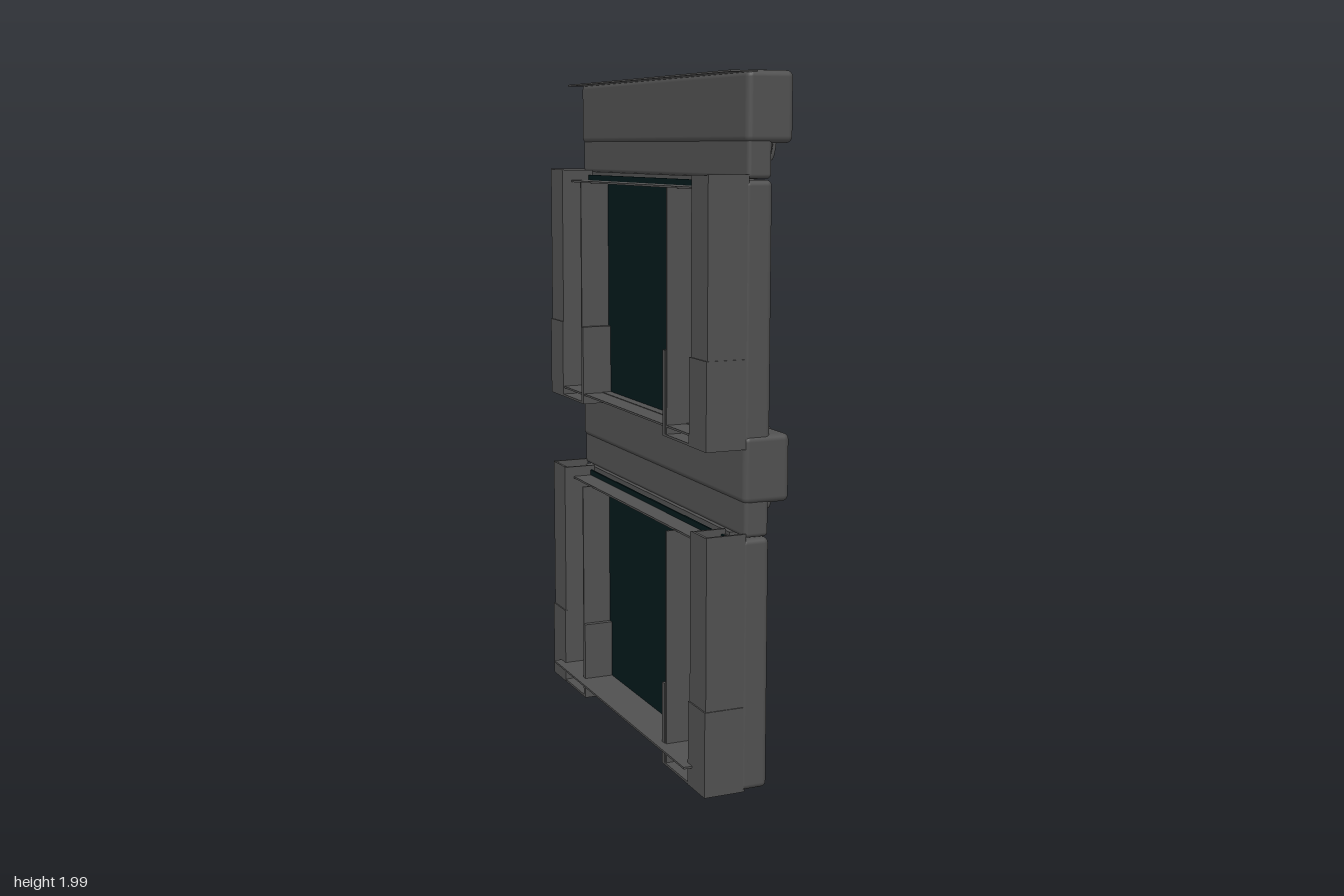
import * as THREE from 'three';
import { RoundedBoxGeometry } from 'three/addons/geometries/RoundedBoxGeometry.js';

export function createModel() {
  const root = new THREE.Group();
  const metal = new THREE.MeshStandardMaterial({ color: 0x505050, side: THREE.DoubleSide });
  metal.name = 'grey metal';
  const glass = new THREE.MeshStandardMaterial({ color: 0x03181a, side: THREE.DoubleSide });
  glass.name = 'dark teal glass';

  // Box given by its minimum and maximum on each axis; r rounds the edges
  function block(parent, name, x0, x1, y0, y1, z0, z1, r = 0, mat = metal) {
    const s = [x1 - x0, y1 - y0, z1 - z0];
    const geo = r ? new RoundedBoxGeometry(...s, 3, r) : new THREE.BoxGeometry(...s);
    const mesh = new THREE.Mesh(geo, mat);
    mesh.position.set((x0 + x1) / 2, (y0 + y1) / 2, (z0 + z1) / 2);
    mesh.name = name;
    parent.add(mesh);
  }

  // The same box on both sides of z = 0
  function pair(parent, name, x0, x1, y0, y1, z0, z1, r = 0) {
    block(parent, name, x0, x1, y0, y1, z0, z1, r);
    block(parent, name, x0, x1, y0, y1, -z1, -z0, r);
  }

  // Cable bundle: over the header, down its face, and across underneath
  function cables(parent) {
    for (let i = 0; i < 3; i++) {
      const o = (i - 1) * 0.011;
      const z = 0.484 + o, low = 0.774 + o * 0.7, x = 0.105 + o * 2.2;
      const half = [[0, 1.016, z], [0.125, 1.016, z], [0.137, 1.0, z],
        [0.137, 0.82, z], [0.132, 0.795, z], [x, low, z - 0.005]];
      const pts = half.concat(half.slice().reverse().map(([a, b, c]) => [a, b, -c]));
      const path = new THREE.CurvePath();
      const v = pts.map(p => new THREE.Vector3(...p));
      for (let k = 1; k < v.length; k++) path.add(new THREE.LineCurve3(v[k - 1], v[k]));
      const mesh = new THREE.Mesh(new THREE.TubeGeometry(path, 160, 0.005, 6), metal);
      mesh.name = 'hangingCable';
      mesh.position.z = -0.008;
      parent.add(mesh);
    }
  }

  function windowUnit(name, y, sillBack, sillTop) {
    const g = new THREE.Group();
    g.name = name;
    g.position.y = y;

    // Front frame
    pair(g, 'pillar', -0.012, 0.072, 0.005, 0.729, 0.53, 0.612, 0.016);
    pair(g, 'pillarInnerStrip', -0.02, 0.05, 0.01, 0.725, 0.505, 0.54);
    block(g, 'topRail', -0.015, 0.052, 0.705, 0.735, -0.535, 0.535);

    // Recessed side jambs with a thicker foot
    pair(g, 'jambFace', -0.021, -0.015, 0.005, 0.706, 0.333, 0.51);
    pair(g, 'jambReturn', -0.12, -0.015, 0.005, 0.706, 0.333, 0.34);
    pair(g, 'jambFootFace', -0.016, -0.004, 0.005, 0.25, 0.316, 0.507);
    pair(g, 'jambFootReturn', -0.123, -0.004, 0.005, 0.25, 0.316, 0.333);

    // Rear columns, hollow and open at the top
    pair(g, 'columnOuterWall', -0.12, 0, 0.005, 0.744, 0.602, 0.61);
    pair(g, 'columnBackWall', -0.12, -0.112, 0.005, 0.742, 0.507, 0.608);
    pair(g, 'columnInnerWall', -0.12, -0.015, 0.005, 0.74, 0.503, 0.511);
    pair(g, 'columnFootOuter', -0.124, -0.005, 0.003, 0.25, 0.606, 0.613);
    pair(g, 'columnFootBack', -0.124, -0.115, 0.003, 0.25, 0.5, 0.612);
    pair(g, 'columnFloor', -0.123, 0, 0.003, 0.01, 0.316, 0.612);

    // Pane with a lip above and a sill below
    block(g, 'pane', -0.029, -0.023, sillTop, 0.725, -0.54, 0.54, 0, glass);
    block(g, 'topLip', -0.09, -0.01, 0.702, 0.708, -0.5, 0.5);
    block(g, 'sillPlate', sillBack, 0.01, sillTop - 0.006, sillTop, -0.54, 0.53);

    // Header, its neck and its rear flap
    block(g, 'headerNeck', -0.005, 0.068, 0.732, 0.84, -0.612, 0.612, 0.012);
    block(g, 'header', -0.01, 0.13, 0.826, 1.017, -0.617, 0.617, 0.018);
    block(g, 'headerFlap', -0.058, 0.02, 1.01, 1.015, -0.612, 0.612);

    cables(g);
    root.add(g);
    return g;
  }

  const lower = windowUnit('lowerWindow', 0, -0.15, 0.068);
  block(lower, 'bottomRail', -0.01, 0.055, 0.01, 0.068, -0.535, 0.535, 0.015);
  windowUnit('upperWindow', 0.977, -0.12, 0.036);
  return root;
}
